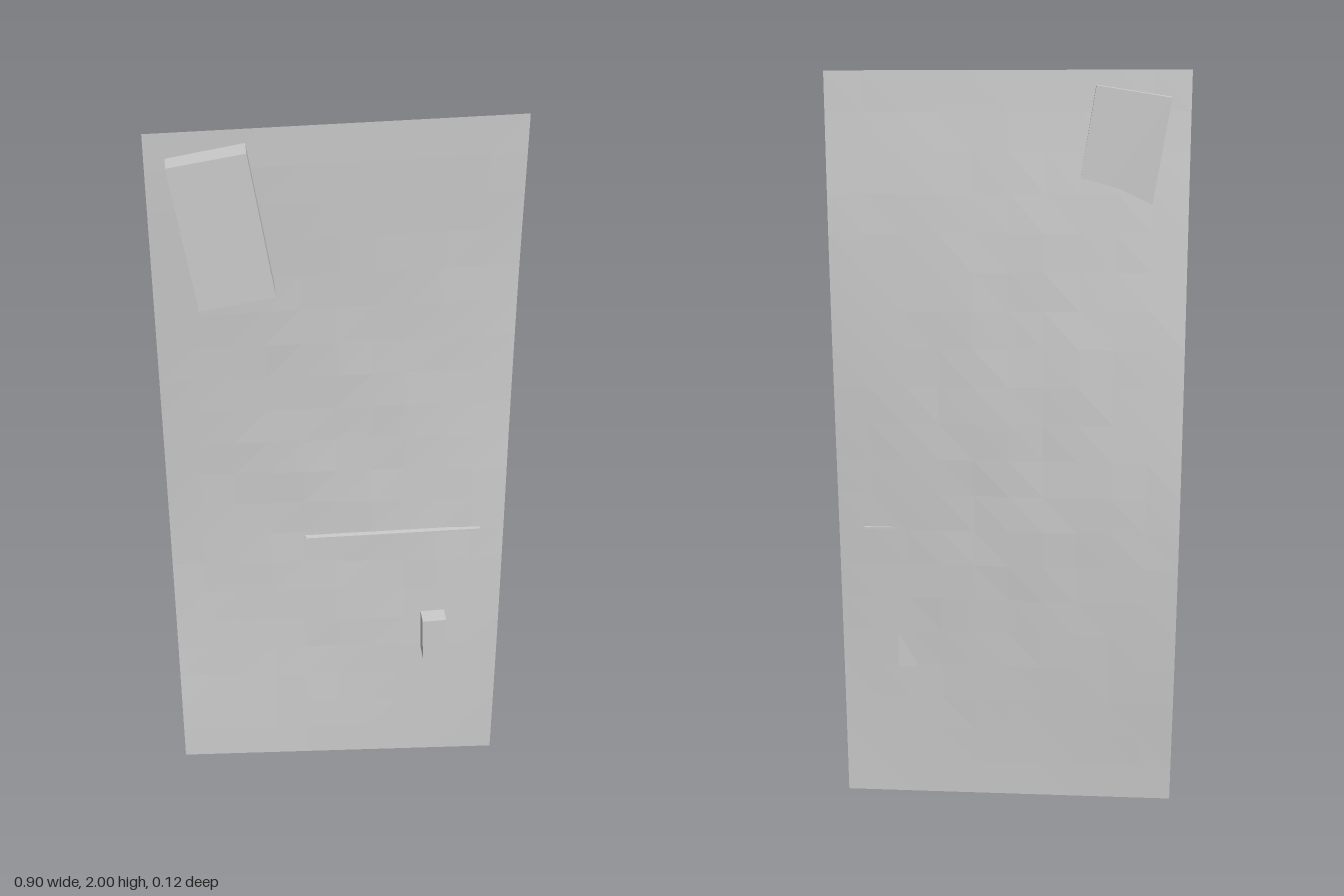
import * as THREE from 'three';

const grey = new THREE.MeshStandardMaterial({ color: 0xcccccc, flatShading: true });
const greySheet = new THREE.MeshStandardMaterial({
  color: 0xcccccc, flatShading: true, side: THREE.DoubleSide,
});

// Depth of the two long edges, from bottom to top in equal steps
const edgeCurve = (depths) =>
  new THREE.SplineCurve(depths.map((z, i) => new THREE.Vector2(z, (2 * i) / (depths.length - 1))));
const rightEdge = edgeCurve([-0.03, -0.05, -0.057, -0.042, -0.015, 0.01]);
const leftEdge = edgeCurve([0.015, 0.01, -0.005, -0.024, -0.031, -0.02]);

// Small uneven dents, zero along the rim
function dent(u, v) {
  const fade = Math.sin(Math.PI * u) * Math.sin(Math.PI * v);
  return 0.0025 * fade * Math.sin(17 * u + 9 * v) * Math.cos(23 * v - 6 * u);
}

// Thin warped sheet, spanned between the two edge curves
function makePanel() {
  const geometry = new THREE.PlaneGeometry(0.9, 2, 10, 20).translate(0, 1, 0);
  const p = geometry.attributes.position;
  for (let i = 0; i < p.count; i++) {
    const u = p.getX(i) / 0.9 + 0.5;
    const v = p.getY(i) / 2;
    const z = THREE.MathUtils.lerp(rightEdge.getPoint(v).x, leftEdge.getPoint(v).x, u);
    p.setZ(i, z + dent(u, v));
  }
  geometry.computeVertexNormals();
  const mesh = new THREE.Mesh(geometry, greySheet);
  mesh.name = 'warpedPanel';
  return mesh;
}

// Box on the panel, given by its centre, size, back and front depth, and tilt
function makeBlock(name, x, y, width, height, back, front, tilt = 0) {
  const mesh = new THREE.Mesh(new THREE.BoxGeometry(width, height, front - back), grey);
  mesh.name = name;
  mesh.position.set(x, y, (back + front) / 2);
  mesh.rotation.z = tilt;
  return mesh;
}

export function createModel() {
  const group = new THREE.Group();
  group.name = 'panelWithFittings';
  group.add(
    makePanel(),
    makeBlock('upperBlock', -0.278, 1.761, 0.188, 0.382, -0.012, 0.058, 0.157),
    makeBlock('lowerBlock', 0.266, 0.458, 0.066, 0.133, -0.003, 0.043, 0.03),
    makeBlock('crossStrip', 0.148, 0.804, 0.474, 0.005, -0.014, 0),
  );
  return group;
}
